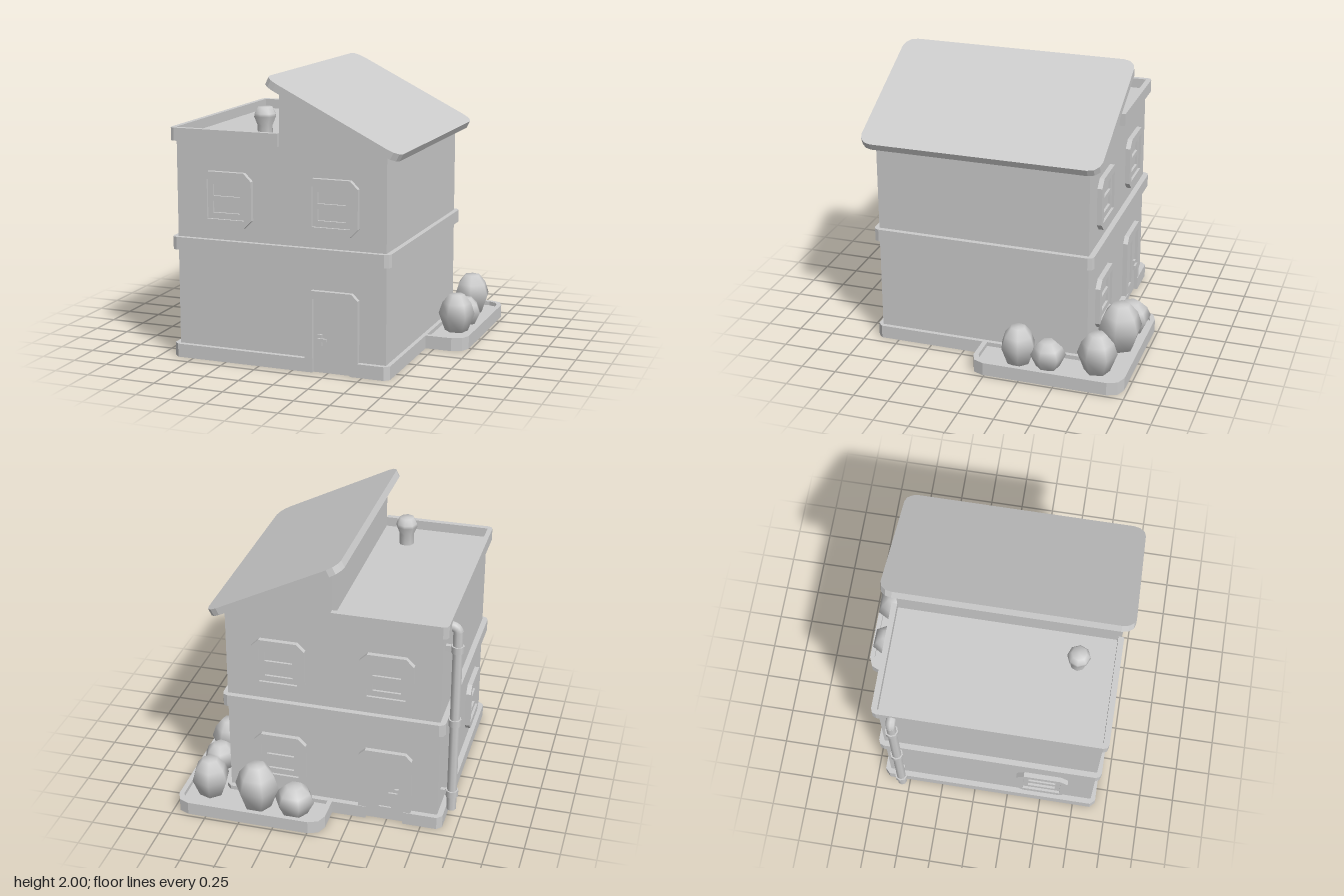
import * as THREE from 'three';

const material = new THREE.MeshStandardMaterial({ color: 0xcccccc, side: THREE.DoubleSide });
const smooth = material;

function add(parent, name, geometry, x = 0, y = 0, z = 0) {
  const mesh = new THREE.Mesh(geometry, smooth);
  mesh.name = name;
  mesh.position.set(x, y, z);
  parent.add(mesh);
  return mesh;
}

// Rectangle outline with corners cut by n segments of radius r
function rect(x0, y0, x1, y1, r = 0, n = 1) {
  if (!r) return [[x0, y0], [x1, y0], [x1, y1], [x0, y1]].map(p => new THREE.Vector2(...p));
  const points = [];
  const corners = [[x1 - r, y1 - r], [x0 + r, y1 - r], [x0 + r, y0 + r], [x1 - r, y0 + r]];
  corners.forEach(([cx, cy], k) => {
    for (let i = 0; i <= n; i++) {
      const a = (k + i / n) * Math.PI / 2;
      points.push(new THREE.Vector2(cx + r * Math.cos(a), cy + r * Math.sin(a)));
    }
  });
  return points;
}

const poly = list => list.map(p => new THREE.Vector2(...p));

function extrude(outline, depth, holes = []) {
  const shape = new THREE.Shape(outline);
  holes.forEach(h => shape.holes.push(new THREE.Path(h)));
  return new THREE.ExtrudeGeometry(shape, { depth, bevelEnabled: false });
}

// Horizontal slab: outline in x and z, hanging down from its top
function slab(outline, top, height, holes) {
  return extrude(outline, height, holes).rotateX(Math.PI / 2).translate(0, top, 0);
}

// Window facing +z, centred on its origin
function makeWindow(name) {
  const g = new THREE.Group();
  g.name = name;
  add(g, 'windowFrame', extrude(rect(-0.19, -0.19, 0.19, 0.19, 0.055), 0.035,
    [rect(-0.137, -0.137, 0.137, 0.137)]));
  add(g, 'windowSash', extrude(rect(-0.137, -0.137, 0.137, 0.137), 0.017,
    [rect(-0.1, 0.02, 0.1, 0.1), rect(-0.1, -0.095, 0.1, -0.015)]));
  return g;
}

// Door facing +z; side puts the handle left (-1) or right (1)
function makeDoor(name, side, glazed) {
  const g = new THREE.Group();
  g.name = name;
  add(g, 'doorFrame', extrude(poly([[-0.19, 0], [-0.135, 0], [-0.135, 0.515], [0.135, 0.515], [0.135, 0],
    [0.19, 0], [0.19, 0.525], [0.145, 0.57], [-0.145, 0.57], [-0.19, 0.525]]), 0.035));
  add(g, 'doorPanel', extrude(rect(-0.135, 0, 0.135, 0.515), 0.013,
    glazed ? [rect(-0.045, 0.1, 0.045, 0.45)] : []));
  add(g, 'handlePlate', new THREE.BoxGeometry(0.03, 0.08, 0.02), side * 0.085, 0.23, 0.02);
  add(g, 'handleStem', new THREE.BoxGeometry(0.02, 0.02, 0.03), side * 0.085, 0.235, 0.03);
  add(g, 'handleLever', new THREE.BoxGeometry(0.065, 0.022, 0.014), side * 0.063, 0.235, 0.038);
  return g;
}

export function createModel() {
  const model = new THREE.Group();
  model.name = 'house';

  // Walls: flat-roofed half and sloping half
  add(model, 'walls', extrude(poly([[-0.86, 0], [0.66, 0], [0.66, 1.53], [-0.1, 1.91],
    [-0.1, 1.55], [-0.86, 1.55]]), 1.53), 0, 0, -0.65);

  // Plinth, notched where the doors stand
  add(model, 'plinth', slab(poly([[-0.865, 0.915], [0.145, 0.915], [0.145, 0.88], [0.415, 0.88], [0.415, 0.915],
    [0.655, 0.915], [0.69, 0.88], [0.69, -0.655], [0.655, -0.69], [-0.35, -0.69], [-0.35, -0.65],
    [-0.62, -0.65], [-0.62, -0.69], [-0.865, -0.69], [-0.9, -0.655], [-0.9, 0.88]]), 0.095, 0.095));

  // Band between the storeys
  add(model, 'storeyBand', slab(rect(-0.9, -0.69, 0.695, 0.915, 0.04, 2), 0.86, 0.09,
    [rect(-0.85, -0.64, 0.65, 0.87)]));

  // Three-sided parapet round the flat roof
  add(model, 'parapet', slab(poly([[-0.1, 0.915], [-0.865, 0.915], [-0.89, 0.905], [-0.9, 0.88],
    [-0.9, -0.655], [-0.89, -0.68], [-0.865, -0.69], [-0.1, -0.69], [-0.1, -0.65], [-0.865, -0.65],
    [-0.865, 0.875], [-0.1, 0.875]]), 1.62, 0.09));

  // Sloping roof plate
  const roof = add(model, 'slopingRoof',
    slab(rect(-0.523, -0.8575, 0.523, 0.8575, 0.09, 3), 0, 0.053), 0.3025, 1.765, 0.1125);
  roof.rotation.z = -Math.atan2(0.47, 0.935);

  // Windows: x, y, z, turn
  [
    ['frontWindow', -0.485, 1.145, 0.88, 0],
    ['frontWindow', 0.28, 1.145, 0.88, 0],
    ['backWindow', -0.485, 1.145, -0.65, Math.PI],
    ['backWindow', 0.28, 1.145, -0.65, Math.PI],
    ['backWindow', 0.28, 0.385, -0.65, Math.PI],
    ['sideWindow', -0.86, 0.385, 0.5, -Math.PI / 2],
  ].forEach(([name, x, y, z, turn]) => {
    const w = makeWindow(name);
    w.position.set(x, y, z);
    w.rotation.y = turn;
    model.add(w);
  });

  // Doors
  const front = makeDoor('frontDoor', -1, false);
  front.position.set(0.28, 0, 0.88);
  const back = makeDoor('backDoor', 1, true);
  back.position.set(-0.485, 0, -0.65);
  back.rotation.y = Math.PI;
  model.add(front, back);

  // Roof vent
  const vent = new THREE.LatheGeometry(poly([[0.055, 1.54], [0.055, 1.63], [0.08, 1.69],
    [0.075, 1.71], [0.052, 1.755], [0, 1.755]]), 8);
  add(model, 'roofVent', vent, -0.31, 0, 0.63);

  // Drainpipe with elbow and clamps
  const pipe = new THREE.Group();
  pipe.name = 'drainpipe';
  pipe.position.set(-0.94, 0, -0.55);
  model.add(pipe);
  add(pipe, 'pipe', new THREE.CylinderGeometry(0.035, 0.035, 1.43, 8), 0, 0.815, 0);
  const bend = new THREE.QuadraticBezierCurve3(new THREE.Vector3(0, 1.52, 0),
    new THREE.Vector3(0, 1.565, 0), new THREE.Vector3(0.07, 1.565, 0));
  add(pipe, 'pipeElbow', new THREE.TubeGeometry(bend, 6, 0.035, 8));
  [0.235, 0.82, 1.395].forEach(y => {
    add(pipe, 'pipeClamp', new THREE.CylinderGeometry(0.046, 0.046, 0.05, 8), 0, y, 0);
    add(pipe, 'clampBracket', new THREE.BoxGeometry(0.07, 0.04, 0.03), 0.05, y, 0);
  });

  // Planting bed at the back corner
  const bed = rect(-0.105, -0.975, 0.98, 0.11, 0.1, 2);
  add(model, 'bedRim', slab(bed, 0.095, 0.095, [rect(-0.07, -0.94, 0.945, 0.075, 0.075, 2)]));
  add(model, 'bedSoil', slab(rect(-0.08, -0.95, 0.955, 0.085, 0.08, 2), 0.065, 0.065));

  // Bushes: x, z, radius, top, turn
  [
    [0.13, -0.83, 0.145, 0.28, 0.5],
    [0.41, -0.82, 0.16, 0.4, 0.55],
    [0.78, -0.755, 0.14, 0.345, 0.2],
    [0.825, -0.415, 0.125, 0.255, 0.3],
    [0.825, -0.2, 0.13, 0.335, 0.8],
  ].forEach(([x, z, r, top, turn]) => {
    const h = top - 0.05;
    const profile = [[0, 0], [0.6, 0], [1, 0.5], [0.8, 0.78], [0.42, 1], [0, 1]]
      .map(([a, b]) => new THREE.Vector2(a * r, b * h));
    add(model, 'bush', new THREE.LatheGeometry(profile, 6), x, 0.05, z).rotation.y = turn;
  });

  return model;
}
